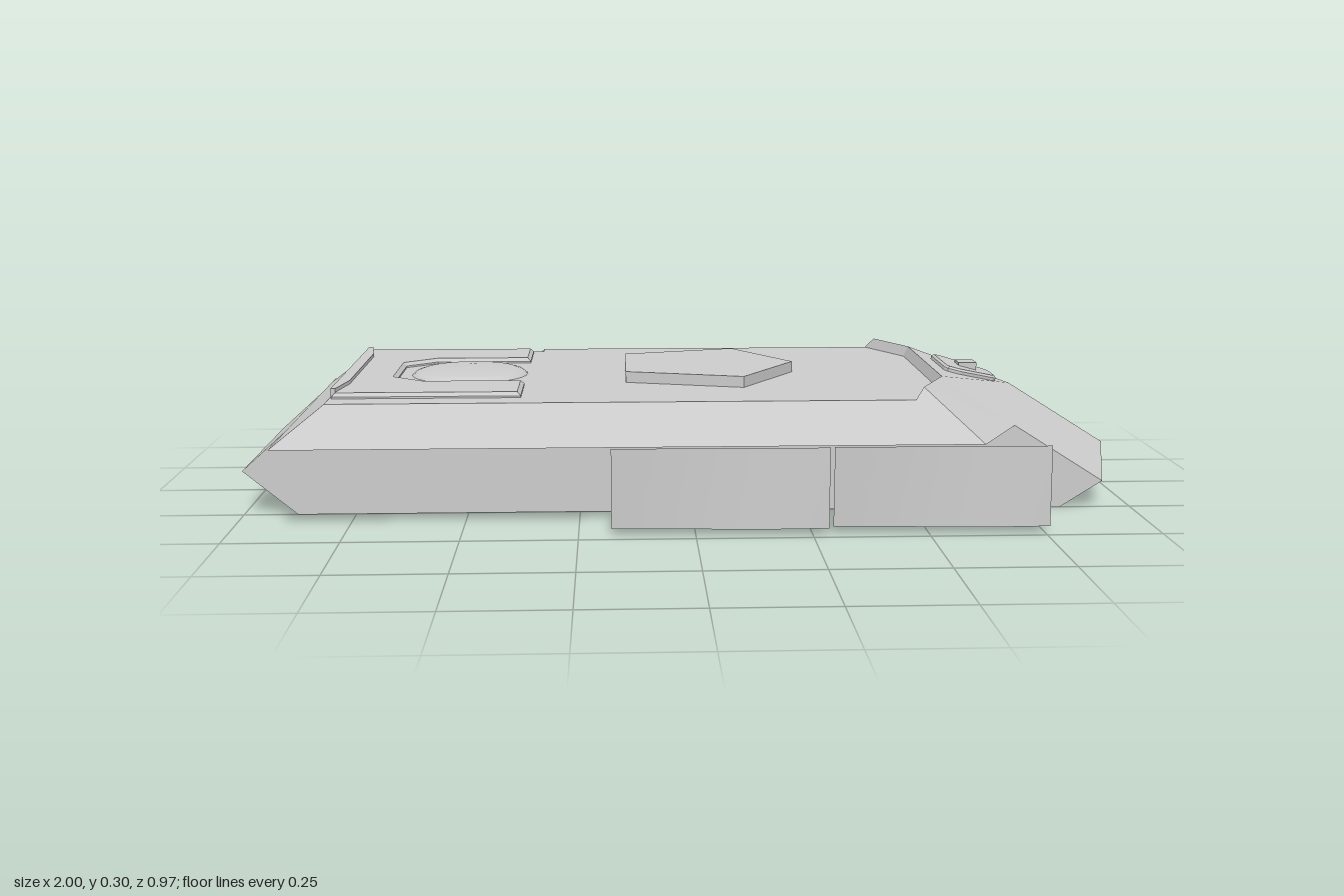
import * as THREE from 'three';

const material = new THREE.MeshStandardMaterial({ color: 0xcccccc, flatShading: true });
const smooth = new THREE.MeshStandardMaterial({ color: 0xcccccc });
const thin = new THREE.MeshStandardMaterial({ color: 0xcccccc, side: THREE.DoubleSide });

// Flat convex panels: each entry is [outward direction, corner, corner, ...]
function panels(name, list) {
  const pos = [];
  const v = (p) => new THREE.Vector3(...p);
  for (const [dir, ...pts] of list) {
    for (let i = 1; i < pts.length - 1; i++) {
      const tri = [pts[0], pts[i], pts[i + 1]];
      const n = v(tri[1]).sub(v(tri[0])).cross(v(tri[2]).sub(v(tri[0])));
      if (n.dot(v(dir)) < 0) tri.reverse();
      pos.push(...tri.flat());
    }
  }
  const g = new THREE.BufferGeometry();
  g.setAttribute('position', new THREE.Float32BufferAttribute(pos, 3));
  g.computeVertexNormals();
  const m = new THREE.Mesh(g, material);
  m.name = name;
  return m;
}

// Raised plate from an [x, z] outline, lying on its own y = 0
function plate(name, outline, height, bevel = 0) {
  const shape = new THREE.Shape(outline.map(([x, z]) => new THREE.Vector2(x, -z)));
  const g = new THREE.ExtrudeGeometry(shape, {
    depth: height - bevel, bevelEnabled: bevel > 0, bevelThickness: bevel,
    bevelSize: bevel, bevelOffset: -bevel, bevelSegments: 1,
  });
  g.rotateX(-Math.PI / 2);
  const m = new THREE.Mesh(g, material);
  m.name = name;
  return m;
}

// Mirror a half outline (z >= 0) into a closed one
const mirrored = (half) => [...half, ...half.slice().reverse().map(([x, z]) => [x, -z])];

export function createModel() {
  const group = new THREE.Group();
  const up = [0, 1, 0], down = [0, -1, 0], back = [-1, 0, 0];
  const deck = 0.275, shelf = 0.19;

  // Lower hull: belly, nose undercut, tail and vertical sides
  const lower = [
    [down, [-0.88, 0, -0.25], [0.84, 0, -0.25], [0.84, 0, 0.25], [-0.88, 0, 0.25]],
    [[1, -1, 0], [0.84, 0, 0.25], [0.935, 0.06, 0.25], [1, 0.1, 0], [0.935, 0.06, -0.25], [0.84, 0, -0.25]],
    [back, [-1, 0.1, 0.25], [-0.88, 0, 0.25], [-0.88, 0, -0.25], [-1, 0.1, -0.25]],
    [back, [-1, 0.1, 0.25], [-0.9, shelf, 0.25], [-0.9, shelf, -0.25], [-1, 0.1, -0.25]],
  ];
  // Front armour: two angled halves with a triangular roof and a raised lip
  const R = [0.77, 0.245, 0];
  const front = [[up, R, [0.565, 0.3, 0.23], [0.565, 0.3, -0.23]],
    [back, [0.565, 0.3, 0.23], [0.565, 0.3, -0.23], [0.555, deck, -0.23], [0.555, deck, 0.23]]];
  const upper = [];
  for (const s of [1, -1]) {
    const p = (x, y, z) => [x, y, z * s];
    const A = p(0.935, 0.06, 0.25), B = p(0.73, shelf, 0.25), C = p(0.62, shelf, 0.46);
    const D = p(0.5, 0.3, 0.37), E = p(0.565, 0.3, 0.23);
    const D2 = p(0.48, deck, 0.39), E2 = p(0.555, deck, 0.23);
    lower.push([[0, 0, s], p(-1, 0.1, 0.25), p(-0.88, 0, 0.25), p(0.84, 0, 0.25), A, B, p(-0.9, shelf, 0.25)]);
    front.push([up, [1, 0.1, 0], A, B, R], [up, R, B, E], [up, B, C, D, E], [back, D, E, E2, D2]);
    upper.push([down, p(-0.9, shelf, 0.25), p(-0.9, shelf, 0.46), C, B]);
    // Sloped side; the right one stops short at the rear recess
    const rear = s > 0 ? [p(-0.79, deck, 0.39), p(-0.9, shelf, 0.46)]
      : [p(-0.35, deck, 0.39), p(-0.44, shelf, 0.46)];
    upper.push([[0, 0.5, s], D2, ...rear, C, D]);
  }
  // Deck, rear slope and the recessed rear corner
  upper.push(
    [up, [0.555, deck, 0.23], [0.555, deck, -0.23], [0.48, deck, -0.39], [-0.35, deck, -0.39],
      [-0.35, deck, -0.345], [-0.79, deck, -0.345], [-0.79, deck, 0.39], [0.48, deck, 0.39]],
    [back, [-0.9, shelf, 0.46], [-0.79, deck, 0.39], [-0.79, deck, -0.345], [-0.9, shelf, -0.41]],
    [up, [-0.9, shelf, -0.46], [-0.44, shelf, -0.46], [-0.44, shelf, -0.41], [-0.9, shelf, -0.41]],
    [[0, 0.5, -1], [-0.9, shelf, -0.41], [-0.44, shelf, -0.41], [-0.35, deck, -0.345], [-0.79, deck, -0.345]],
    [back, [-0.44, shelf, -0.46], [-0.35, deck, -0.39], [-0.35, deck, -0.345], [-0.44, shelf, -0.41]],
  );
  group.add(panels('lowerHull', lower), panels('frontArmour', front), panels('upperHull', upper));

  // Engine deck with its round cap and rear rail
  const engine = plate('engineDeck', mirrored([
    [-0.67, 0.1], [-0.6, 0.16], [-0.375, 0.16], [-0.375, 0.325], [-0.785, 0.325]]), 0.012, 0.008);
  const rail = plate('rearRail', mirrored([[-0.762, 0.2], [-0.778, 0.31], [-0.788, 0.31]]), 0.02);
  const profile = [[0.135, 0], [0.126, 0.008], [0.11, 0.013], [0.06, 0.016], [0, 0.017]];
  const cap = new THREE.Mesh(
    new THREE.LatheGeometry(profile.map(([r, y]) => new THREE.Vector2(r, y)), 32), smooth);
  cap.name = 'roundCap';
  cap.position.set(-0.51, deck, 0);
  engine.position.y = rail.position.y = deck;

  // Pentagonal turret base
  const turret = plate('turretBase', [[0.25, 0], [0.12, 0.215], [-0.145, 0.135], [-0.145, -0.135], [0.12, -0.215]], 0.025);
  turret.position.y = deck;
  group.add(engine, rail, cap, turret);

  // Driver hatch and periscope on the sloping roof
  const hatch = new THREE.Group();
  hatch.name = 'driverHatch';
  hatch.position.set(0.565, 0.3, 0);
  hatch.rotation.z = -0.262;
  hatch.add(plate('hatchLid', mirrored([[0.17, 0.035], [0.16, 0.05], [0.07, 0.097], [0.04, 0.097], [0.033, 0.085]]), 0.012, 0.005));
  group.add(hatch);
  const scope = new THREE.Mesh(new THREE.BoxGeometry(0.042, 0.036, 0.05), material);
  scope.name = 'periscope';
  scope.position.set(0.665, 0.28, 0);
  group.add(scope);

  // Thin, slightly warped side skirts
  for (const s of [1, -1]) {
    for (const [x0, x1, phase] of [[-0.18, 0.285, 0], [0.295, 0.76, 2]]) {
      const g = new THREE.PlaneGeometry(x1 - x0, 0.175, 8, 2);
      g.translate((x0 + x1) / 2, 0.1025, 0);
      const a = g.attributes.position;
      for (let i = 0; i < a.count; i++) {
        const low = (0.19 - a.getY(i)) / 0.175;
        a.setZ(i, s * (0.477 + (0.003 + 0.006 * low) * Math.sin(a.getX(i) * 9 + phase)));
      }
      g.computeVertexNormals();
      const skirt = new THREE.Mesh(g, thin);
      skirt.name = s > 0 ? 'nearSideSkirt' : 'farSideSkirt';
      group.add(skirt);
    }
  }
  return group;
}
